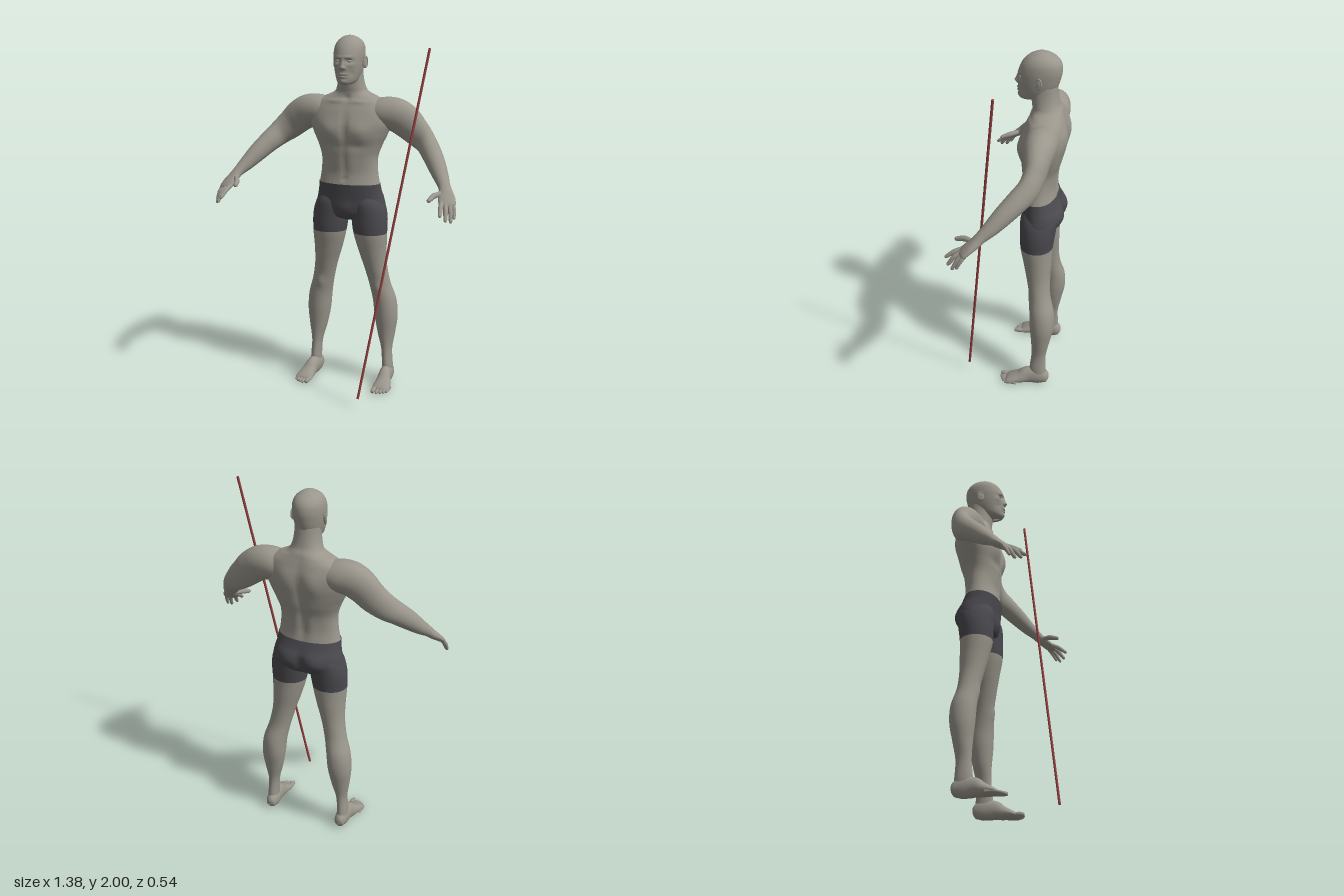
import * as THREE from 'three';

const material = (name, color) => {
  const m = new THREE.MeshStandardMaterial({ color, side: THREE.DoubleSide });
  m.name = name;
  return m;
};

// Smooth interpolation between rows of numbers
function sampleRows(rows, t) {
  const last = rows.length - 1;
  const i = Math.min(Math.floor(t), last - 1), f = t - i;
  const [p, q, r, s] = [i - 1, i, i + 1, i + 2].map(k => rows[Math.max(0, Math.min(last, k))]);
  return q.map((_, k) => {
    const m0 = (r[k] - p[k]) / 2, m1 = (s[k] - q[k]) / 2, d = r[k] - q[k];
    return q[k] + f * (m0 + f * (3 * d - 2 * m0 - m1 + f * (m0 + m1 - 2 * d)));
  });
}

// Skin over elliptical sections [x, y, z, radiusU, radiusV].
// "upright" keeps sections level (U = x, V = z); otherwise they follow the path with U upward.
function loft(rows, { upright = false, segs = 32, steps = 6, from = 0, to = rows.length - 1, power = 1, sculpt } = {}) {
  const pos = [], index = [], up = new THREE.Vector3(0, 1, 0);
  const n = Math.round((to - from) * steps);
  const sp = v => Math.sign(v) * Math.abs(v) ** power;
  for (let i = 0; i <= n; i++) {
    const t = from + (to - from) * i / n;
    const [x, y, z, a, b] = sampleRows(rows, t);
    let u = new THREE.Vector3(1, 0, 0), v = new THREE.Vector3(0, 0, 1);
    if (!upright) {
      const p0 = sampleRows(rows, Math.max(0, t - 0.1)), p1 = sampleRows(rows, Math.min(rows.length - 1, t + 0.1));
      const tan = new THREE.Vector3(p1[0] - p0[0], p1[1] - p0[1], p1[2] - p0[2]).normalize();
      u = up.clone().addScaledVector(tan, -up.dot(tan)).normalize();
      v = u.clone().cross(tan);
    }
    for (let j = 0; j < segs; j++) {
      const th = j / segs * Math.PI * 2, c = Math.cos(th), s = Math.sin(th);
      const p = new THREE.Vector3(x, y, z).addScaledVector(u, a * sp(c)).addScaledVector(v, b * sp(s));
      if (sculpt) sculpt(p, s);
      pos.push(p.x, p.y, p.z);
      if (i < n) {
        const k = i * segs + j, l = i * segs + (j + 1) % segs;
        index.push(k, k + segs, l, l, k + segs, l + segs);
      }
    }
  }
  const g = new THREE.BufferGeometry();
  g.setAttribute('position', new THREE.Float32BufferAttribute(pos, 3));
  g.setIndex(index);
  g.computeVertexNormals();
  return g;
}

// Symmetric soft bumps [x, y, sizeX, sizeY, height] on the front and back of a form
const bumps = (front, back = []) => (p, s) => {
  const x = Math.abs(p.x), y = p.y;
  const sum = list => list.reduce((a, [bx, by, sx, sy, h]) =>
    a + h * Math.exp(-(((x - bx) / sx) ** 2) - ((y - by) / sy) ** 2), 0);
  const weight = Math.min(1, Math.abs(s) * 1.6);
  p.z += s > 0 ? weight * sum(front) : -weight * sum(back);
};

// Level sections given as [y, halfWidth, frontZ, backZ]
const level = rows => rows.map(([y, w, f, b]) => [0, y, (f + b) / 2, w, (f - b) / 2]);

// Round-ended finger or toe through three points
function digit(a, b, c, r) {
  const at = (p, q, f) => p.map((v, i) => v + (q[i] - v) * f);
  return loft([[...a, r, r], [...at(a, b, 0.5), r * 0.95, r * 0.95], [...b, r, r], [...at(b, c, 0.6), r * 0.85, r * 0.85],
    [...at(b, c, 0.9), r * 0.65, r * 0.65], [...c, 0.0005, 0.0005]], { segs: 12, steps: 3 });
}

function mirrored(g) {
  const m = g.clone().scale(-1, 1, 1), idx = m.index;
  for (let i = 0; i < idx.count; i += 3) {
    const a = idx.getX(i);
    idx.setX(i, idx.getX(i + 1));
    idx.setX(i + 1, a);
  }
  m.computeVertexNormals();
  return m;
}

export function createModel() {
  const skin = material('skin', 0x9a968c);
  const cloth = material('shortsCloth', 0x4a494e);
  const red = material('staffRed', 0x96403f);
  const model = new THREE.Group();
  model.name = 'figureWithStaff';
  const add = (name, g, mat = skin) => {
    const mesh = new THREE.Mesh(g, mat);
    mesh.name = name;
    model.add(mesh);
    return mesh;
  };
  const pair = (name, g, mat = skin) => {
    add('left' + name, g, mat);
    add('right' + name, mirrored(g), mat);
  };

  // Torso and neck
  add('torso', loft(level([
    [1.18, 0.176, -0.017, -0.212], [1.25, 0.165, -0.028, -0.204], [1.33, 0.163, -0.022, -0.215],
    [1.40, 0.185, -0.012, -0.238], [1.46, 0.213, -0.008, -0.25], [1.52, 0.235, -0.01, -0.258],
    [1.58, 0.235, -0.028, -0.258], [1.63, 0.21, -0.05, -0.248], [1.665, 0.15, -0.066, -0.238],
    [1.69, 0.098, -0.07, -0.23], [1.72, 0.08, -0.066, -0.215], [1.77, 0.07, -0.06, -0.205], [1.82, 0.067, -0.06, -0.2],
  ]), {
    upright: true, segs: 80, steps: 8, power: 0.95,
    sculpt: bumps(
      [[0.09, 1.48, 0.06, 0.05, 0.014], [0, 1.5, 0.014, 0.09, -0.012], [0.04, 1.3, 0.03, 0.07, 0.004],
        [0, 1.29, 0.008, 0.08, -0.004], [0, 1.215, 0.009, 0.009, -0.008], [0.07, 1.4, 0.06, 0.025, -0.006],
        [0.07, 1.645, 0.05, 0.012, 0.006], [0, 1.66, 0.015, 0.015, -0.008]],
      [[0, 1.42, 0.022, 0.17, -0.016], [0.08, 1.54, 0.05, 0.07, 0.012], [0.045, 1.27, 0.03, 0.07, 0.005]]),
  }));

  // Head with sculpted face
  add('head', loft(level([
    [1.735, 0.008, -0.02, -0.06], [1.742, 0.036, -0.002, -0.11], [1.757, 0.054, 0.003, -0.15], [1.785, 0.066, 0.007, -0.185],
    [1.82, 0.075, 0.008, -0.203], [1.86, 0.081, 0.008, -0.215], [1.90, 0.084, 0.003, -0.222], [1.94, 0.08, -0.014, -0.217],
    [1.97, 0.064, -0.04, -0.195], [1.99, 0.038, -0.072, -0.158], [1.998, 0.016, -0.095, -0.132], [2.0, 0.001, -0.112, -0.114],
  ]), {
    upright: true, segs: 112, steps: 9,
    sculpt: bumps([
      [0.031, 1.867, 0.016, 0.011, -0.013], [0.028, 1.888, 0.024, 0.007, 0.005], [0, 1.85, 0.009, 0.02, 0.009],
      [0, 1.833, 0.011, 0.01, 0.014], [0.013, 1.83, 0.006, 0.007, 0.008], [0, 1.796, 0.022, 0.005, 0.007],
      [0, 1.782, 0.018, 0.005, 0.006], [0, 1.789, 0.024, 0.003, -0.005], [0, 1.757, 0.02, 0.01, 0.007],
      [0.05, 1.845, 0.015, 0.012, 0.004], [0.045, 1.8, 0.014, 0.018, -0.005],
    ]),
  }));
  pair('Eye', new THREE.SphereGeometry(0.0115, 20, 14).scale(1.15, 0.7, 1).translate(0.031, 1.866, -0.016));
  pair('Ear', new THREE.SphereGeometry(1, 20, 14).scale(0.009, 0.031, 0.019).rotateY(-0.35).rotateX(-0.15)
    .translate(0.086, 1.855, -0.112));
  pair('EarRim', new THREE.TorusGeometry(0.017, 0.0045, 8, 24).scale(0.9, 1.55, 1).rotateY(Math.PI / 2 - 0.35)
    .translate(0.091, 1.857, -0.114));

  // Shoulder, arm and palm in one skin
  pair('Arm', loft([
    [0.08, 1.575, -0.15, 0.06, 0.07], [0.17, 1.578, -0.15, 0.085, 0.088], [0.25, 1.572, -0.15, 0.093, 0.083],
    [0.31, 1.54, -0.15, 0.092, 0.07], [0.37, 1.488, -0.147, 0.082, 0.057], [0.43, 1.438, -0.125, 0.07, 0.052],
    [0.48, 1.388, -0.075, 0.06, 0.054], [0.525, 1.335, -0.02, 0.052, 0.05], [0.565, 1.283, 0.032, 0.041, 0.042],
    [0.598, 1.24, 0.08, 0.029, 0.033], [0.614, 1.213, 0.107, 0.025, 0.038], [0.628, 1.185, 0.14, 0.02, 0.046],
    [0.64, 1.16, 0.168, 0.014, 0.043], [0.645, 1.15, 0.178, 0.003, 0.03],
  ], { segs: 40, steps: 6 }));

  // Fingers and thumb
  const fingers = [
    ['IndexFinger', [0.605, 1.175, 0.163], [0.615, 1.152, 0.212], [0.624, 1.115, 0.262], 0.0125],
    ['MiddleFinger', [0.628, 1.17, 0.163], [0.641, 1.138, 0.207], [0.65, 1.087, 0.244], 0.0125],
    ['RingFinger', [0.65, 1.168, 0.156], [0.662, 1.13, 0.188], [0.671, 1.077, 0.216], 0.012],
    ['LittleFinger', [0.665, 1.17, 0.143], [0.676, 1.135, 0.168], [0.682, 1.092, 0.19], 0.0105],
    ['Thumb', [0.6, 1.212, 0.112], [0.565, 1.203, 0.17], [0.549, 1.184, 0.226], 0.015],
  ];
  for (const [name, a, b, c, r] of fingers) pair(name, digit(a, b, c, r));

  // Legs: skin below the hem, cloth above it
  const leg = [
    [0.222, 0.04, -0.16, 0.03, 0.045], [0.223, 0.1, -0.152, 0.03, 0.048], [0.217, 0.2, -0.155, 0.031, 0.042],
    [0.211, 0.3, -0.163, 0.052, 0.053], [0.207, 0.4, -0.168, 0.067, 0.067], [0.197, 0.5, -0.165, 0.068, 0.069],
    [0.172, 0.6, -0.15, 0.063, 0.06], [0.15, 0.7, -0.137, 0.067, 0.066], [0.133, 0.8, -0.128, 0.082, 0.078],
    [0.122, 0.9, -0.12, 0.097, 0.09], [0.115, 1.0, -0.125, 0.103, 0.098], [0.105, 1.08, -0.13, 0.09, 0.1],
    [0.09, 1.14, -0.13, 0.06, 0.07],
  ];
  const kneeAndCalf = bumps([[0.172, 0.58, 0.03, 0.035, 0.007]], [[0.17, 0.44, 0.03, 0.07, 0.004]]);
  pair('Leg', loft(leg, { upright: true, segs: 40, steps: 8, to: 9, sculpt: kneeAndCalf }));
  pair('ShortsLeg', loft(leg, { upright: true, segs: 40, steps: 8, from: 9 }), cloth);

  // Seat of the shorts
  add('shortsSeat', loft(level([
    [0.968, 0.03, -0.1, -0.16], [0.985, 0.1, -0.05, -0.2], [1.01, 0.18, -0.034, -0.23], [1.05, 0.203, -0.026, -0.246],
    [1.1, 0.194, -0.022, -0.246], [1.14, 0.184, -0.018, -0.23], [1.185, 0.178, -0.014, -0.214],
  ]), {
    upright: true, segs: 64, steps: 8, power: 0.95,
    sculpt: bumps([[0, 1.04, 0.04, 0.04, 0.008]], [[0.085, 1.07, 0.06, 0.05, 0.016], [0, 1.05, 0.02, 0.06, -0.02]]),
  }), cloth);

  // Feet with flattened soles, and toes
  pair('Foot', loft([
    [0.222, 0.035, -0.215, 0.004, 0.004], [0.222, 0.038, -0.205, 0.032, 0.026], [0.222, 0.05, -0.165, 0.055, 0.035],
    [0.226, 0.05, -0.1, 0.054, 0.036], [0.232, 0.034, -0.05, 0.038, 0.043], [0.236, 0.022, 0, 0.023, 0.05],
    [0.237, 0.015, 0.025, 0.014, 0.048], [0.237, 0.013, 0.035, 0.003, 0.036],
  ], { segs: 32, steps: 6, sculpt: p => { p.y = Math.max(0, p.y); } }));
  for (let i = 0; i < 5; i++) {
    const x = [0.203, 0.226, 0.245, 0.262, 0.277][i], tip = [0.073, 0.072, 0.065, 0.054, 0.039][i];
    const r = i ? 0.0095 : 0.0135;
    pair('Toe' + (i + 1), digit([x, r + 0.004, tip - 0.07], [x, r + 0.003, tip - 0.025], [x, r, tip], r));
  }

  // Slender leaning staff
  const foot = new THREE.Vector3(0.187, 0.052, 0.267), top = new THREE.Vector3(0.491, 1.95, 0.031);
  const staff = add('staff', new THREE.CylinderGeometry(0.007, 0.007, foot.distanceTo(top), 12), red);
  staff.position.lerpVectors(foot, top, 0.5);
  staff.quaternion.setFromUnitVectors(new THREE.Vector3(0, 1, 0), top.clone().sub(foot).normalize());
  return model;
}
